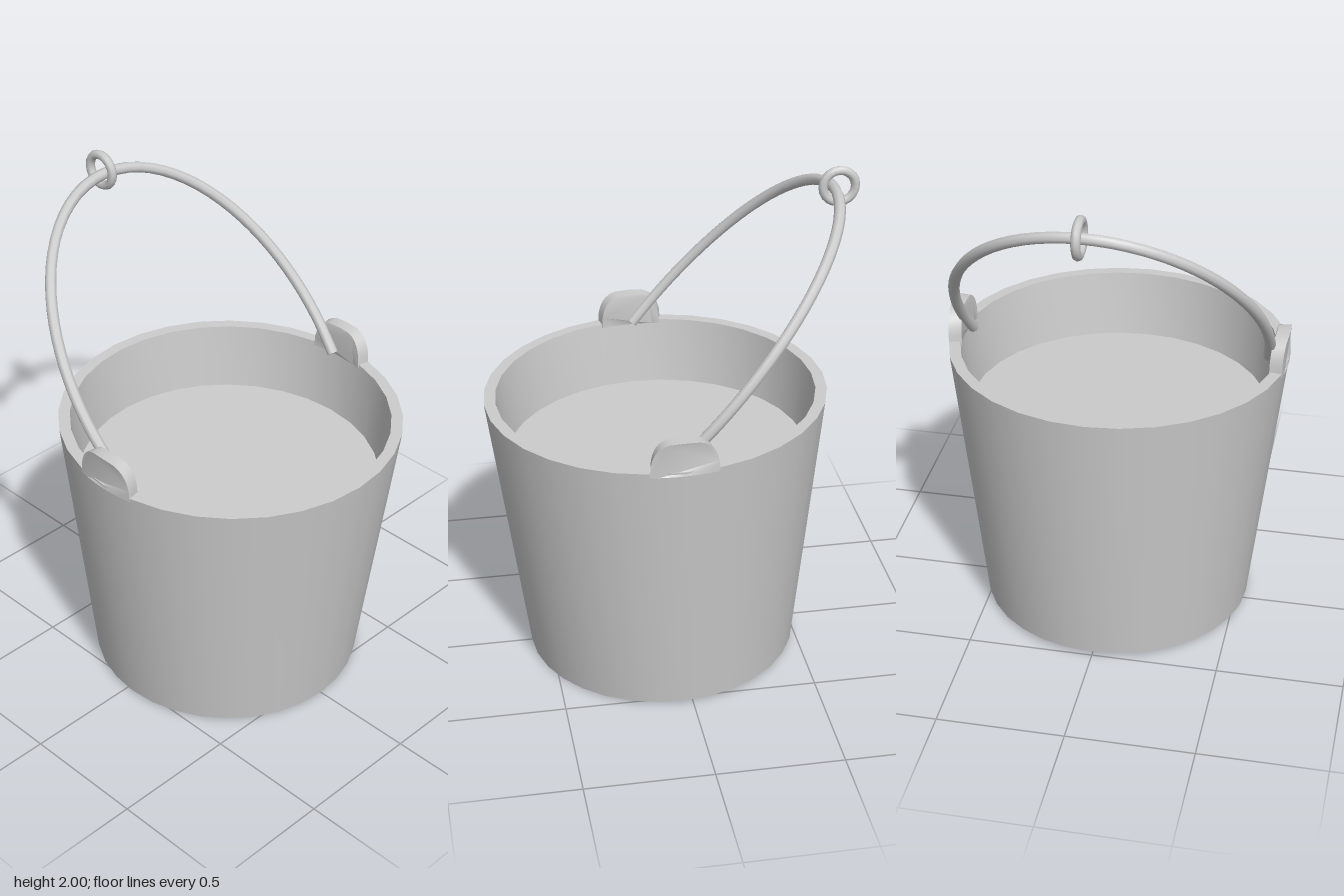
import * as THREE from 'three';
import { toCreasedNormals } from 'three/addons/utils/BufferGeometryUtils.js';

const material = new THREE.MeshStandardMaterial({ color: 0xcccccc });

function addMesh(parent, name, geometry) {
  const mesh = new THREE.Mesh(geometry, material);
  mesh.name = name;
  parent.add(mesh);
  return mesh;
}

const HEIGHT = 1.109, RIM = 0.67, RIM_INNER = 0.625;

// Tapered body with a flat rim and a raised inner floor
function bodyGeometry() {
  const profile = [
    [0, 0], [0.54, 0], [RIM, HEIGHT], [RIM_INNER, HEIGHT], [0.593, 0.84], [0, 0.84],
  ].map(([x, y]) => new THREE.Vector2(x, y));
  return toCreasedNormals(new THREE.LatheGeometry(profile, 32), 0.6);
}

// Rounded tab, bent to follow the curve of the rim
function earGeometry() {
  const shape = new THREE.Shape();
  shape.moveTo(-0.131, -0.015);
  for (let i = 1; i < 8; i++) shape.lineTo(-0.131 + i * 0.0328, -0.015);
  shape.lineTo(0.131, -0.015);
  shape.lineTo(0.128, 0.03);
  shape.quadraticCurveTo(0.115, 0.105, 0.055, 0.118);
  shape.lineTo(0, 0.12);
  shape.lineTo(-0.055, 0.118);
  shape.quadraticCurveTo(-0.115, 0.105, -0.128, 0.03);
  shape.closePath();
  const geometry = new THREE.ExtrudeGeometry(shape, { depth: 0.051, bevelEnabled: false, curveSegments: 5 });
  const p = geometry.attributes.position;
  for (let i = 0; i < p.count; i++) {
    const angle = p.getX(i) / RIM, r = 0.62 + p.getZ(i);
    p.setXYZ(i, r * Math.sin(angle), HEIGHT + p.getY(i), r * Math.cos(angle));
  }
  return toCreasedNormals(geometry, 0.6);
}

// Elliptical hoop in a plane leaning towards -x
function handleCurve() {
  const points = [];
  const over = 0.22;
  for (let i = 0; i <= 24; i++) {
    const a = -over + (Math.PI + 2 * over) * i / 24;
    const y = 1.27 + 0.64 * Math.sin(a);
    points.push(new THREE.Vector3(0.055 - (y - 1.13) * 0.883, y, 0.606 * Math.cos(a)));
  }
  return new THREE.CatmullRomCurve3(points);
}

export function createModel() {
  const model = new THREE.Group();
  model.name = 'bucket';

  // Pail, tipped very slightly to one side
  const pail = new THREE.Group();
  pail.name = 'pail';
  pail.position.set(0.035, 0.015, 0);
  pail.rotation.z = -0.02;
  model.add(pail);
  addMesh(pail, 'body', bodyGeometry());
  const ear = earGeometry();
  addMesh(pail, 'frontEar', ear);
  addMesh(pail, 'backEar', ear).rotation.y = Math.PI;

  // Swinging wire handle with closed ends
  const handle = new THREE.Group();
  handle.name = 'handle';
  model.add(handle);
  const curve = handleCurve(), radius = 0.022;
  addMesh(handle, 'handleWire', new THREE.TubeGeometry(curve, 48, radius, 8));
  for (const [t, sign] of [[0, -1], [1, 1]]) {
    const cap = addMesh(handle, 'handleEnd', new THREE.CircleGeometry(radius, 8));
    const end = curve.getPointAt(t);
    cap.position.copy(end);
    cap.lookAt(end.clone().addScaledVector(curve.getTangentAt(t), sign));
  }

  // Hanging ring threaded on the top of the handle
  const ring = addMesh(model, 'ring', new THREE.TorusGeometry(0.063, 0.018, 8, 20));
  ring.position.set(-0.65, 1.92, 0);

  return model;
}
